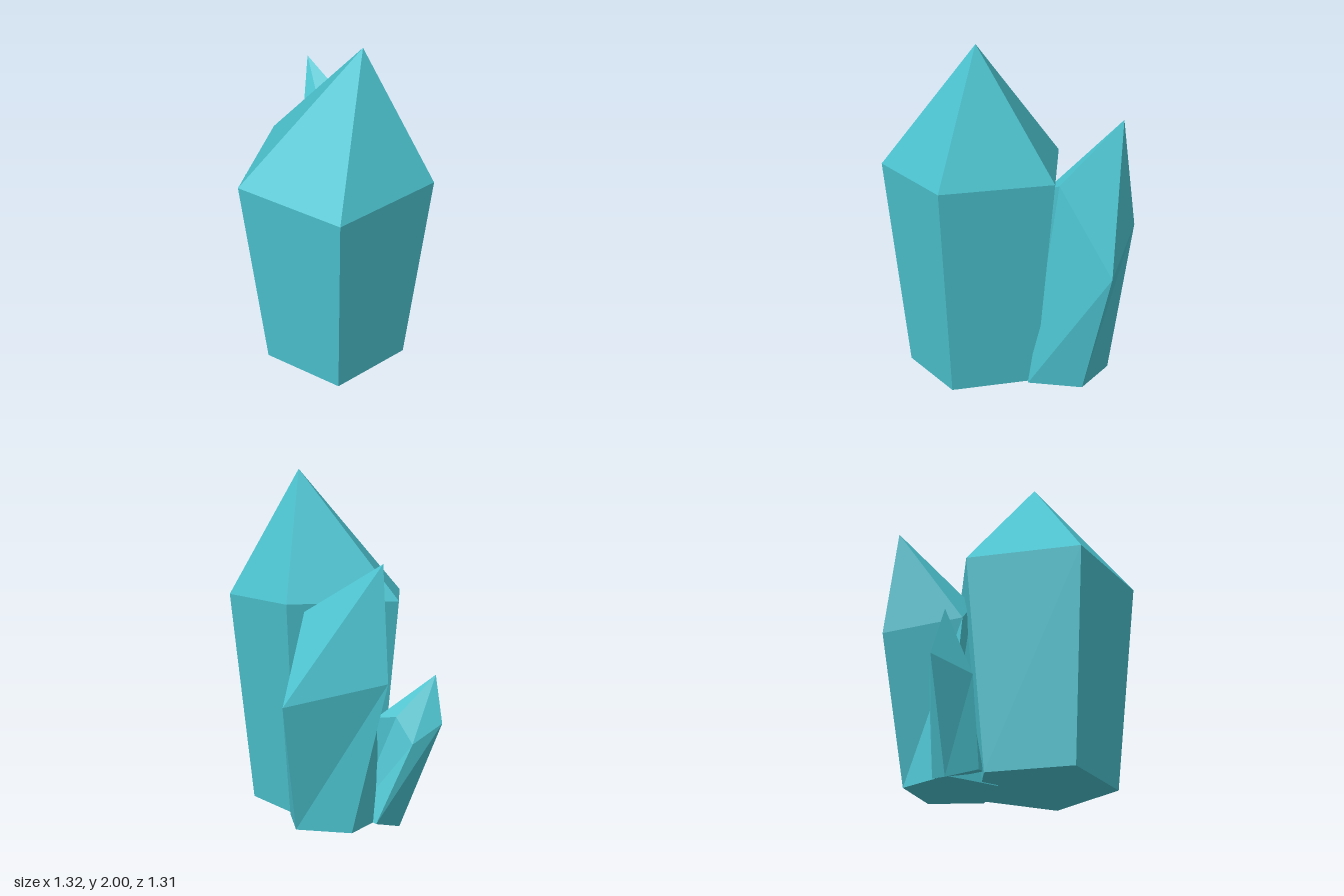
import * as THREE from 'three';

const material = new THREE.MeshStandardMaterial({ color: 0x4cc3cf, flatShading: true });

// Regular pentagon at height y, one corner pointing back, counter-clockwise from above
function pentagon(cx, cz, radius, y) {
  return Array.from({ length: 5 }, (_, i) => {
    const a = Math.PI / 2 + (i * Math.PI * 2) / 5;
    return [cx + radius * Math.cos(a), y, cz - radius * Math.sin(a)];
  });
}

// Prism from a base ring to a shoulder ring, closed below and pointed above
function crystal(name, base, shoulder, apex) {
  const n = base.length;
  const centre = [0, 1, 2].map((k) => base.reduce((s, p) => s + p[k], 0) / n);
  const positions = [];
  const tri = (...corners) => corners.forEach((p) => positions.push(...p));
  for (let i = 0; i < n; i++) {
    const j = (i + 1) % n;
    tri(base[i], base[j], shoulder[j]);
    tri(base[i], shoulder[j], shoulder[i]);
    tri(shoulder[i], shoulder[j], apex);
    tri(base[j], base[i], centre);
  }
  const geometry = new THREE.BufferGeometry();
  geometry.setAttribute('position', new THREE.Float32BufferAttribute(positions, 3));
  geometry.computeVertexNormals();
  const mesh = new THREE.Mesh(geometry, material);
  mesh.name = name;
  return mesh;
}

export function createModel() {
  const group = new THREE.Group();
  group.name = 'crystalCluster';

  // Tall upright crystal with an off-centre point
  group.add(crystal('mainCrystal',
    pentagon(0.135, 0.21, 0.415, 0.05),
    pentagon(0.135, 0.21, 0.55, 1.27),
    [0.25, 2, 0.12]));

  // Medium crystal leaning out at the back
  group.add(crystal('backCrystal',
    [[0.18, 0.045, -0.19], [0.03, 0.045, -0.465], [-0.28, 0.045, -0.42], [-0.33, 0.045, -0.11], [-0.04, 0.045, 0.035]],
    [[0.045, 1.23, -0.3], [0.025, 0.76, -0.655], [-0.49, 0.885, -0.44], [-0.28, 0.97, -0.05], [-0.1, 1.13, -0.1]],
    [-0.44, 1.515, -0.385]));

  // Small crystal tilted out to the side
  group.add(crystal('smallCrystal',
    [[-0.43, 0, -0.05], [-0.34, 0.04, 0.1], [-0.2, 0.08, 0.04], [-0.2, 0.08, -0.14], [-0.34, 0.04, -0.19]],
    [[-0.66, 0.6, 0], [-0.475, 0.515, 0.145], [-0.28, 0.61, -0.02], [-0.41, 0.63, -0.06], [-0.52, 0.49, -0.1]],
    [-0.605, 0.865, 0.05]));

  return group;
}
